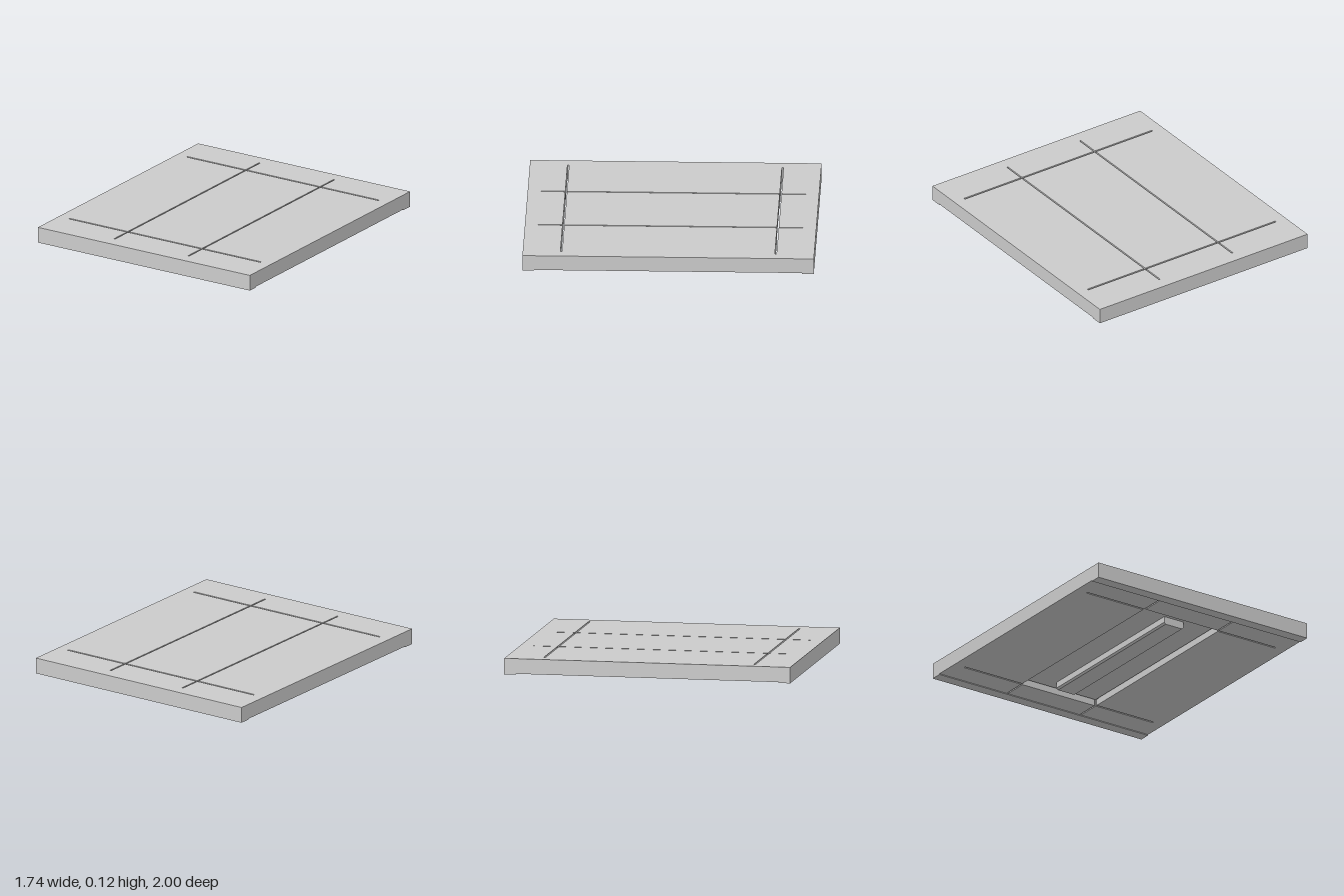
import * as THREE from 'three';

export function createModel() {
  const model = new THREE.Group();
  const material = new THREE.MeshStandardMaterial({ color: 0xcccccc, flatShading: true });

  const add = (name, geometry, x = 0, y = 0, z = 0) => {
    const mesh = new THREE.Mesh(geometry, material);
    mesh.name = name;
    mesh.position.set(x, y, z);
    model.add(mesh);
    return mesh;
  };
  const polygon = (points) => new THREE.Shape(points.map(([x, y]) => new THREE.Vector2(x, y)));

  const W = 0.87, L = 1, top = 0.12, bottom = 0.015, recessTop = 0.055;
  // slot edges: inner and outer, across x and along z
  const xi = 0.3, xo = 0.31, zi = 0.73, zo = 0.742, xEnd = 0.787, zEnd = 0.91;

  // Outer slab: one opening made of the central bay and eight thin slot arms
  const quarter = [[xo, zi], [xEnd, zi], [xEnd, zo], [xo, zo], [xo, zEnd], [xi, zEnd], [xi, zo]];
  const outline = [];
  for (const [sx, sz] of [[1, 1], [-1, 1], [-1, -1], [1, -1]]) {
    const part = quarter.map(([x, z]) => [x * sx, z * sz]);
    outline.push(...(sx * sz > 0 ? part : part.reverse()));
  }
  const slab = polygon([[-W, -L], [W, -L], [W, L], [-W, L]]);
  slab.holes.push(polygon(outline));
  const slabGeometry = new THREE.ExtrudeGeometry(slab, { depth: top - bottom, bevelEnabled: false });
  slabGeometry.rotateX(-Math.PI / 2);
  add('outerSlab', slabGeometry, 0, bottom, 0);

  // Raised middle panel, leaving a shallow bay beneath it
  add('centrePanel', new THREE.BoxGeometry(2 * xi, top - recessTop, 2 * zi), 0, (top + recessTop) / 2, 0);

  for (const sz of [1, -1]) {
    // Low strips under the two ends
    add('endStrip', new THREE.BoxGeometry(2 * W, 0.006, 0.08), 0, bottom - 0.003, sz * 0.96);
    // Small tabs holding the middle panel at its corners
    for (const sx of [1, -1]) {
      add('panelTab', new THREE.BoxGeometry(xo - xi, 0.03, 0.025), sx * (xi + xo) / 2, 0.075, sz * 0.715);
    }
  }

  // Long rail hanging in the bay, with chamfered lower edges
  const rail = polygon([[-0.068, 0], [0.068, 0], [0.08, 0.012], [0.08, recessTop], [-0.08, recessTop], [-0.08, 0.012]]);
  add('underRail', new THREE.ExtrudeGeometry(rail, { depth: 1.3, bevelEnabled: false }), 0, 0, -0.65);

  return model;
}
